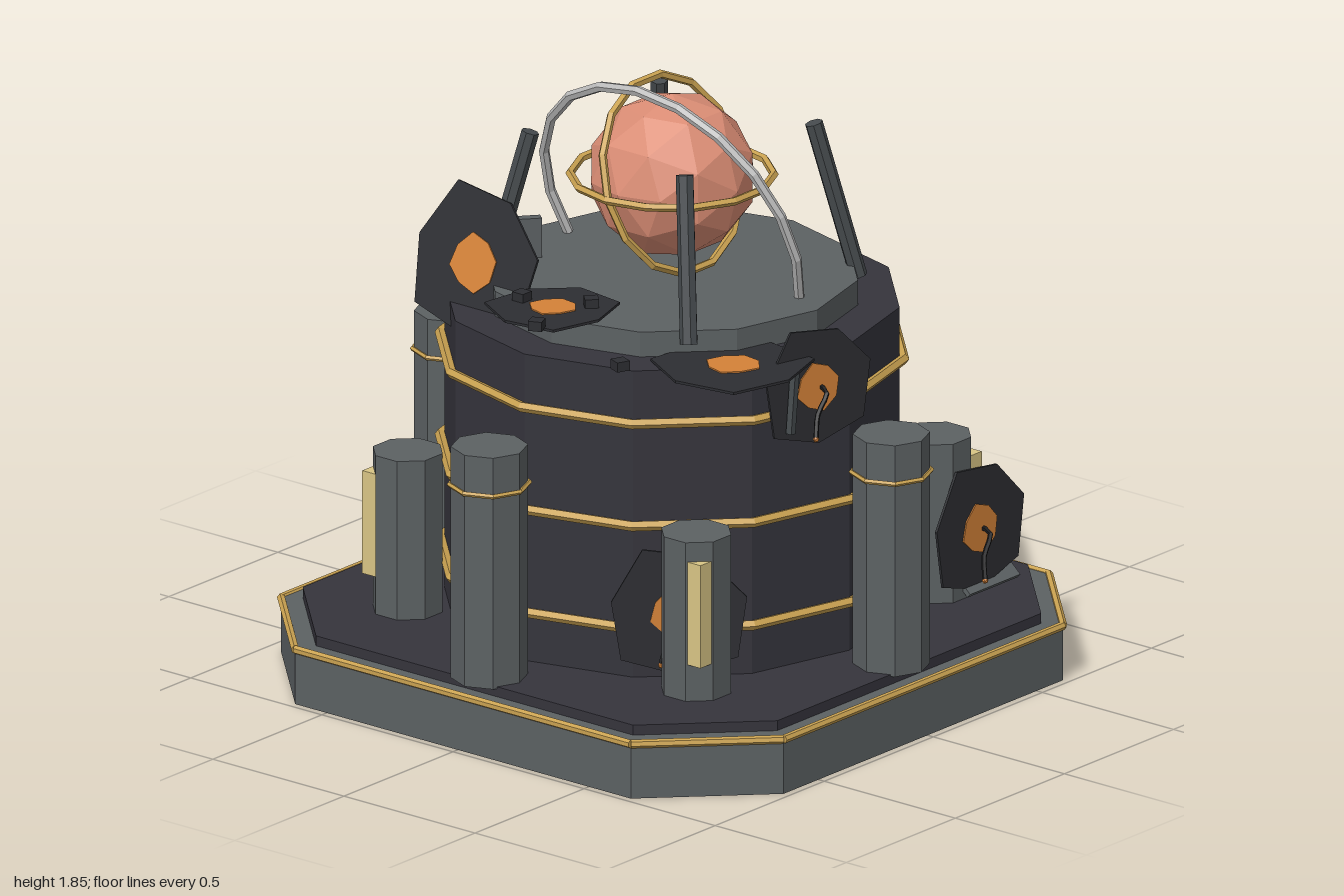
import * as THREE from 'three';

const mat = (name, color) => {
  const m = new THREE.MeshStandardMaterial({ color });
  m.name = name;
  return m;
};

export function createModel() {
  const root = new THREE.Group();
  const stone = mat('grey stone', 0x5c6163);
  const dark = mat('dark plating', 0x35343c);
  const gold = mat('gold', 0xcaa251);
  const paleGold = mat('pale gold', 0xd9c585);
  const copper = mat('copper pink', 0xdb8d75);
  const ember = mat('ember orange', 0xd48238);
  const char = mat('charred metal', 0x2d2e32);
  const black = mat('black', 0x1a1a1c);
  const silver = mat('silver', 0xbcbcbc);
  const steel = mat('dark steel', 0x464b4e);

  // Faceted normals
  const flat = (g) => {
    const f = g.index ? g.toNonIndexed() : g;
    f.computeVertexNormals();
    return f;
  };
  const add = (parent, name, geo, material, x = 0, y = 0, z = 0) => {
    const m = new THREE.Mesh(flat(geo), material);
    m.name = name;
    m.position.set(x, y, z);
    parent.add(m);
    return m;
  };
  const rod = (parent, name, a, b, r, sides, material) => {
    const d = b.clone().sub(a);
    const m = add(parent, name, new THREE.CylinderGeometry(r, r, d.length(), sides), material);
    m.position.copy(a).add(b).multiplyScalar(0.5);
    m.quaternion.setFromUnitVectors(new THREE.Vector3(0, 1, 0), d.normalize());
    return m;
  };
  const ring = (parent, name, r, tube, seg, y, material) => {
    const g = new THREE.TorusGeometry(r, tube, 5, seg).rotateX(Math.PI / 2);
    return add(parent, name, g, material, 0, y, 0);
  };
  const v = (x, y, z) => new THREE.Vector3(x, y, z);

  const machine = new THREE.Group();
  machine.name = 'machine';
  machine.position.set(-0.02, 0, 0.02);
  root.add(machine);

  // Base slab with cut corners, deck and gold edging
  const octagon = (h, f) => [[h, -f], [h, f], [f, h], [-f, h], [-h, f], [-h, -f], [-f, -h], [f, -h]];
  const slab = (name, h, f, y, height, material) => {
    const s = new THREE.Shape(octagon(h, f).map((p) => new THREE.Vector2(...p)));
    const g = new THREE.ExtrudeGeometry(s, { depth: height, bevelEnabled: false }).rotateX(-Math.PI / 2);
    add(machine, name, g, material, 0, y, 0);
  };
  slab('base', 0.958, 0.64, 0, 0.175, stone);
  slab('deck', 0.905, 0.605, 0.17, 0.036, dark);
  const edge = octagon(0.958, 0.64);
  edge.forEach((p, i) => {
    const q = edge[(i + 1) % 8];
    rod(machine, 'baseTrim', v(p[0], 0.17, p[1]), v(q[0], 0.17, q[1]), 0.013, 6, gold);
  });

  // Twelve-sided drum, hoops and roof
  add(machine, 'drum', new THREE.CylinderGeometry(0.677, 0.677, 0.96, 12), dark, 0, 0.68, 0);
  add(machine, 'roof', new THREE.CylinderGeometry(0.553, 0.553, 0.08, 12), stone, 0, 1.197, 0);
  for (const y of [0.362, 0.682, 1.0]) ring(machine, 'drumHoop', 0.69, 0.016, 12, y, gold);

  // Tall pillars on the axes, short ones with pale corner lights on the diagonals
  for (let i = 0; i < 4; i++) {
    const side = new THREE.Group();
    side.name = 'pillars' + (i + 1);
    side.rotation.y = (i * Math.PI) / 2;
    machine.add(side);
    add(side, 'tallPillar', new THREE.CylinderGeometry(0.114, 0.114, 0.72, 8), stone, 0, 0.56, 0.837);
    ring(side, 'pillarRing', 0.118, 0.008, 8, 0.802, gold).position.z = 0.837;
    add(side, 'shortPillar', new THREE.CylinderGeometry(0.107, 0.107, 0.5, 8).rotateY(Math.PI / 8), stone, 0.55, 0.45, 0.55);
    add(side, 'pillarLight', new THREE.BoxGeometry(0.05, 0.32, 0.05), paleGold, 0.62, 0.48, 0.62);
    rod(side, 'strut', v(0.388, 1.2, 0.388), v(0.295, 1.68, 0.295), 0.027, 7, steel);
  }

  // Orb and its rings
  add(machine, 'orb', new THREE.IcosahedronGeometry(0.25, 1), copper, 0, 1.535, 0);
  ring(machine, 'levelRing', 0.3, 0.013, 14, 1.535, gold);
  const tilted = add(machine, 'tiltedRing', new THREE.TorusGeometry(0.295, 0.013, 5, 14), gold, 0, 1.535, 0);
  tilted.rotation.x = -0.35;
  const arc = 1.23 * Math.PI;
  const arch = new THREE.TorusGeometry(0.47, 0.016, 6, 12, arc)
    .rotateZ((Math.PI - arc) / 2).rotateY(Math.PI / 2).rotateZ(0.34);
  add(machine, 'brokenArch', arch, silver, 0, 1.393, 0);

  // Damage scars: charred sheet, glowing core and hanging cable
  const wobble = [1, 0.93, 1.08, 0.95, 1.04, 0.9, 1.06];
  const polygon = (r, n, depth) => {
    const pts = [];
    for (let i = 0; i < n; i++) {
      const a = (i / n) * Math.PI * 2 + 0.25;
      pts.push(new THREE.Vector2(Math.cos(a), Math.sin(a)).multiplyScalar(r * wobble[i % 7]));
    }
    return new THREE.ExtrudeGeometry(new THREE.Shape(pts), { depth, bevelEnabled: false });
  };
  const scar = (pos, normal, r, core, cable = true) => {
    const g = new THREE.Group();
    g.name = 'scar';
    g.position.set(...pos);
    g.lookAt(v(...pos).add(v(...normal)));
    root.add(g);
    add(g, 'charredSheet', polygon(r, 7, 0.008), char);
    add(g, 'glowingCore', polygon(core, 8, 0.006), ember, 0, 0, 0.006);
    if (!cable) return;
    const path = new THREE.CatmullRomCurve3([v(0.01, 0, 0), v(0.01, -0.01, 0.04), v(-0.03, -0.07, 0.05), v(-0.05, -0.13, 0.07)]);
    add(g, 'cable', new THREE.TubeGeometry(path, 8, 0.008, 5), black);
    add(g, 'cableTip', new THREE.IcosahedronGeometry(0.01, 0), ember, -0.05, -0.135, 0.07);
  };
  scar([0.6, 0.41, 0.67], [0, 0, 1], 0.21, 0.078);
  scar([0.3, 0.29, 0.65], [0.46, 0, 0.89], 0.19, 0.066);
  scar([-0.17, 1.07, 0.695], [-0.26, 0, 0.97], 0.195, 0.075);
  scar([0.61, 0.52, -0.31], [0.88, 0, -0.47], 0.2, 0.095);
  scar([-0.535, 0.41, 0.47], [-0.75, 0, 0.66], 0.21, 0.08);
  scar([-0.4, 1.163, 0.57], [0, 1, 0.001], 0.23, 0.08, false);
  scar([-0.53, 1.245, -0.01], [0, 1, 0.001], 0.19, 0.07, false);
  scar([-0.44, 1.28, -0.38], [-0.95, 0.3, 0], 0.235, 0.085, false);

  // Buckled panels beside the scars
  add(root, 'fallenPanel', new THREE.BoxGeometry(0.23, 0.016, 0.32), stone, 0.65, 0.325, 0.57).rotation.x = 0.72;
  add(root, 'roofPanel', new THREE.BoxGeometry(0.28, 0.19, 0.03), stone, -0.283, 1.265, -0.44).rotation.y = -0.7;
  add(root, 'wallSplinter', new THREE.BoxGeometry(0.02, 0.22, 0.02), steel, -0.27, 1.06, 0.69).rotation.z = -0.1;

  // Loose chunks on the roof and around the base
  const chunks = [
    [-0.54, 1.265, -0.12], [-0.7, 1.265, 0.07], [-0.45, 1.265, 0.07], [-0.63, 1.18, 0.33],
  ];
  chunks.forEach((p, i) => {
    add(root, 'roofChunk', new THREE.BoxGeometry(0.042, 0.03, 0.042), char, ...p).rotation.y = i * 0.4;
  });
  add(root, 'sideChunk', new THREE.BoxGeometry(0.05, 0.035, 0.075), steel, 0.965, 0.026, 0.32).rotation.y = -0.3;
  add(root, 'backChunk', new THREE.BoxGeometry(0.065, 0.035, 0.055), char, -0.2, 0.03, -0.972);
  add(root, 'smallBackChunk', new THREE.BoxGeometry(0.03, 0.025, 0.025), char, -0.42, 0.03, -0.945);

  // Silver conduit along the back of the base
  rod(root, 'backConduit', v(-0.5, 0.075, -0.94), v(0.38, 0.075, -0.94), 0.013, 6, silver);

  return root;
}
